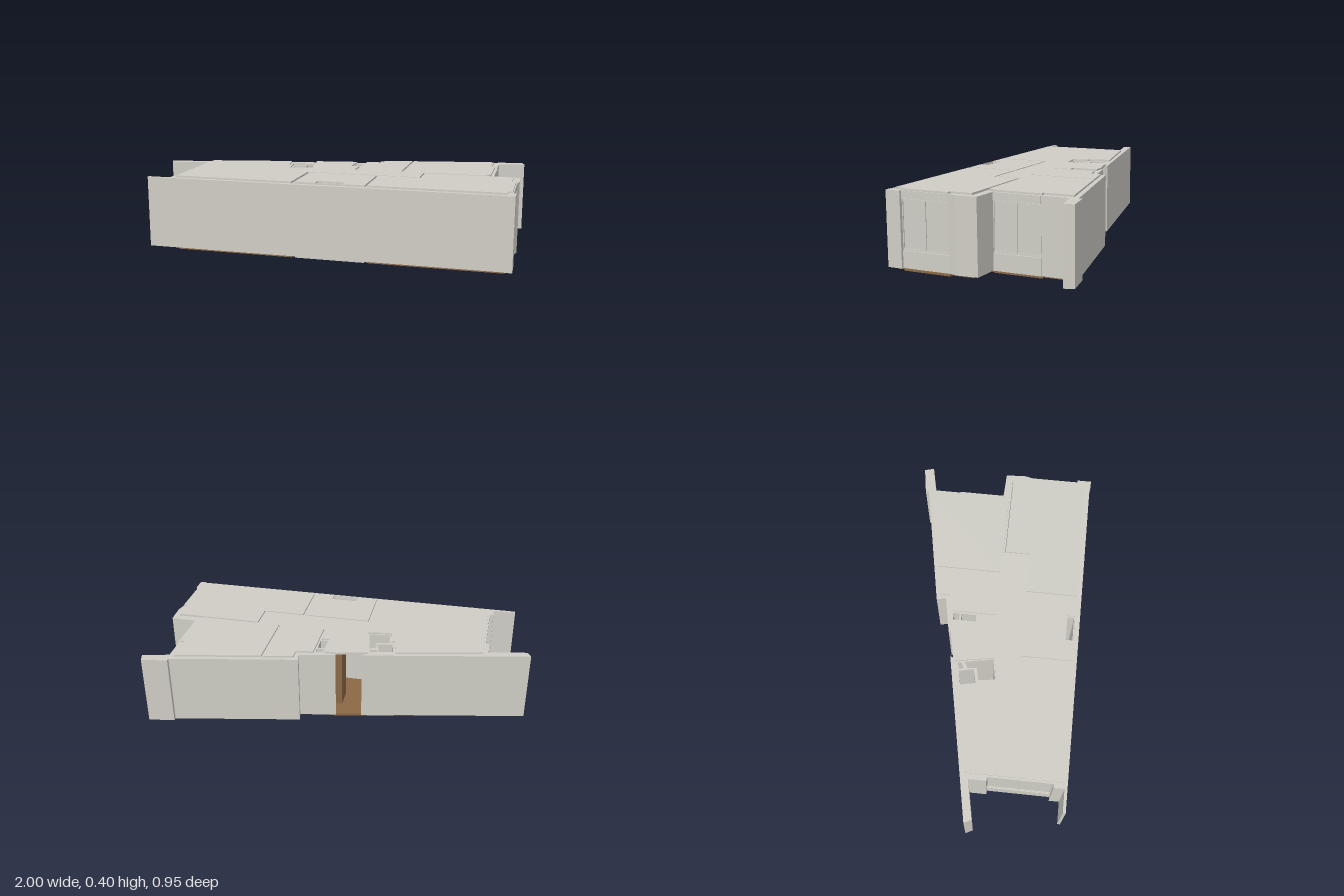
import * as THREE from 'three';

const WALL0 = 0.014, WALL1 = 0.388, TOP = 0.397;

export function createModel() {
  const model = new THREE.Group();
  model.name = 'apartment';
  const mat = (name, color) => Object.assign(new THREE.MeshStandardMaterial({ color }), { name });
  const plaster = mat('plaster', 0xcfcdc5);
  const wood = mat('wood', 0x8b6845);
  const tile = mat('tile', 0xc8c8c6);

  const add = (name, geo, material, parent = model) => {
    const m = new THREE.Mesh(geo, material);
    m.name = name;
    parent.add(m);
    return m;
  };
  const vec = (pts) => pts.map(([x, z]) => new THREE.Vector2(x, z));
  const rect = (x0, x1, z0, z1) => [[x0, z0], [x1, z0], [x1, z1], [x0, z1]];

  // Prism with a plan outline in x, z between two heights
  const prism = (name, pts, y0, y1, material, holes = [], parent = model) => {
    const shape = new THREE.Shape(vec(pts));
    holes.forEach((h) => shape.holes.push(new THREE.Path(vec(h))));
    const geo = new THREE.ExtrudeGeometry(shape, { depth: y1 - y0, bevelEnabled: false });
    geo.rotateX(Math.PI / 2).translate(0, y1, 0);
    return add(name, geo, material, parent);
  };
  const wall = (name, pts, holes) => prism(name, pts, WALL0, WALL1, plaster, holes);

  // Outer walls
  wall('frontWall', rect(-0.78, 0.99, 0.444, 0.47));
  wall('frontFin', rect(-0.9, -0.78, 0.455, 0.47));
  wall('backWallLeft', [[-1, -0.03], [-0.135, -0.2], [-0.165, -0.155], [-0.98, 0.008]]);
  wall('backWallRight', [
    [0, -0.225], [0.19, -0.262], [0.18, -0.312], [0.84, -0.44], [0.84, -0.458], [0.975, -0.48],
    [0.99, -0.43], [0.85, -0.4], [0.85, -0.26], [0.82, -0.26], [0.82, -0.41], [0.21, -0.295],
    [0.21, -0.242], [0.005, -0.203],
  ]);
  wall('rightStepWall', [
    [0.825, -0.015], [0.99, -0.008], [0.995, 0.1], [0.985, 0.145], [0.96, 0.145],
    [0.96, 0.03], [0.82, 0.03],
  ]);
  wall('rightFrontPier', rect(0.96, 0.998, 0.398, 0.475));
  wall('leftFrontPier', rect(-0.78, -0.75, 0.4, 0.444));
  wall('leftBackPier', rect(-0.78, -0.75, -0.04, 0.06));

  // Inner partitions
  [
    [-0.115, -0.1, 0.16, 0.444], [-0.1, 0.5, 0.16, 0.17], [0.49, 0.5, 0.02, 0.16],
    [0.5, 0.82, 0.02, 0.03], [0.265, 0.275, 0.17, 0.444],
    [0.11, 0.12, -0.224, 0.02], [0.365, 0.375, -0.325, 0.02],
  ].forEach((r) => wall('partition', rect(...r)));

  // Service shafts, open from top to bottom
  const shaftOutline = [
    [-0.165, -0.178], [-0.125, 0.035], [-0.248, 0.058], [-0.264, -0.028], [-0.283, -0.035], [-0.305, -0.148],
  ];
  prism('entryShaft', shaftOutline, 0, WALL1, plaster, [
    [[-0.292, -0.143], [-0.217, -0.158], [-0.197, -0.068], [-0.272, -0.05]],
    [[-0.255, -0.037], [-0.188, -0.052], [-0.195, -0.1], [-0.162, -0.12], [-0.133, 0.03], [-0.243, 0.05]],
    [[-0.205, -0.16], [-0.173, -0.167], [-0.166, -0.135], [-0.198, -0.125]],
  ]);
  prism('bathShaft', [[0.065, -0.215], [0.113, -0.224], [0.113, -0.08], [0.065, -0.08]], 0, WALL1, plaster, [
    rect(0.072, 0.11, -0.21, -0.177), rect(0.072, 0.11, -0.167, -0.087),
  ]);
  const frontShaft = rect(0.01, 0.155, 0.395, 0.443);
  prism('frontShaft', frontShaft, 0, WALL1, plaster, [rect(0.018, 0.147, 0.402, 0.438)]);

  // Room outlines shared by floors and ceilings
  const mainFront = [[-0.75, 0.444], [-0.115, 0.444], [-0.115, 0.16], [0.49, 0.16], [0.49, 0.02], [0.82, 0.02]];
  const mainRight = [[0.84, -0.015], [0.84, -0.26], [0.82, -0.26], [0.82, -0.41], [0.375, -0.326], [0.375, 0.02]];
  const mainBath = [[0.365, 0.02], [0.365, -0.324], [0.21, -0.295], [0.21, -0.242], [0.12, -0.225], [0.12, 0.02]];
  const mainBack = [
    [0.11, 0.02], [0.11, -0.08], [0.065, -0.08], [0.065, -0.215], [0, -0.22], [-0.135, -0.185],
    ...shaftOutline, [-0.75, -0.055],
  ];
  mainBack[4] = [0, -0.215];
  const bath = rect(-0.1, 0.265, 0.17, 0.444);
  const bedroom = [[0.275, 0.17], [0.5, 0.17], [0.5, 0.033], [0.96, 0.033], [0.96, 0.145], [0.98, 0.145],
    [0.98, 0.398], [0.96, 0.398], [0.96, 0.444], [0.275, 0.444]];

  prism('mainCeiling', [...mainFront, ...mainRight, ...mainBath, ...mainBack], WALL1 - 0.003, TOP, plaster);
  prism('bathCeiling', bath, WALL1 - 0.003, TOP, plaster, [frontShaft]);
  prism('bedroomCeiling', bedroom, WALL1 - 0.003, TOP, plaster);
  prism('mainFloor', [...mainFront, ...mainRight, ...mainBack], 0, WALL0, wood);
  prism('bedroomFloor', bedroom, 0, WALL0, wood);
  prism('bathFloor', bath, 0, WALL0, tile, [frontShaft]);
  prism('rearBathFloor', mainBath, 0, WALL0, tile);

  // Windows: sill wall, lintel, frame bars and two recessed panes; out is +1 or -1
  const windowWall = (name, x, z0, z1, out) => {
    const g = new THREE.Group();
    g.name = name;
    model.add(g);
    const part = (n, y0, y1, a, b, depth, face) => {
      const geo = new THREE.BoxGeometry(depth, y1 - y0, b - a);
      geo.translate(x + out * (face - depth / 2), (y0 + y1) / 2, (a + b) / 2);
      add(n, geo, plaster, g);
    };
    const mid = (z0 + z1) / 2, bar = 0.005;
    part('sillWall', WALL0, 0.1, z0, z1, 0.022, 0);
    part('lintel', 0.35, WALL1, z0, z1, 0.022, 0);
    part('bottomBar', 0.103, 0.11, z0, z1, 0.014, -0.004);
    part('topBar', 0.343, 0.348, z0, z1, 0.014, -0.004);
    [z0 + bar / 2, mid, z1 - bar / 2].forEach((z) =>
      part('uprightBar', 0.103, 0.348, z - bar / 2, z + bar / 2, 0.014, -0.004));
    part('panes', 0.1, 0.35, z0, z1, 0.006, -0.009);
  };
  windowWall('rightFrontWindow', 0.985, 0.145, 0.398, 1);
  windowWall('rightBackWindow', 0.855, -0.26, -0.015, 1);
  windowWall('leftWindow', -0.76, 0.06, 0.4, -1);

  // Cupboard just inside the entrance
  prism('entryCupboard', rect(-0.01, 0.064, -0.115, 0), WALL0, WALL1 - 0.004, wood);

  return model;
}
